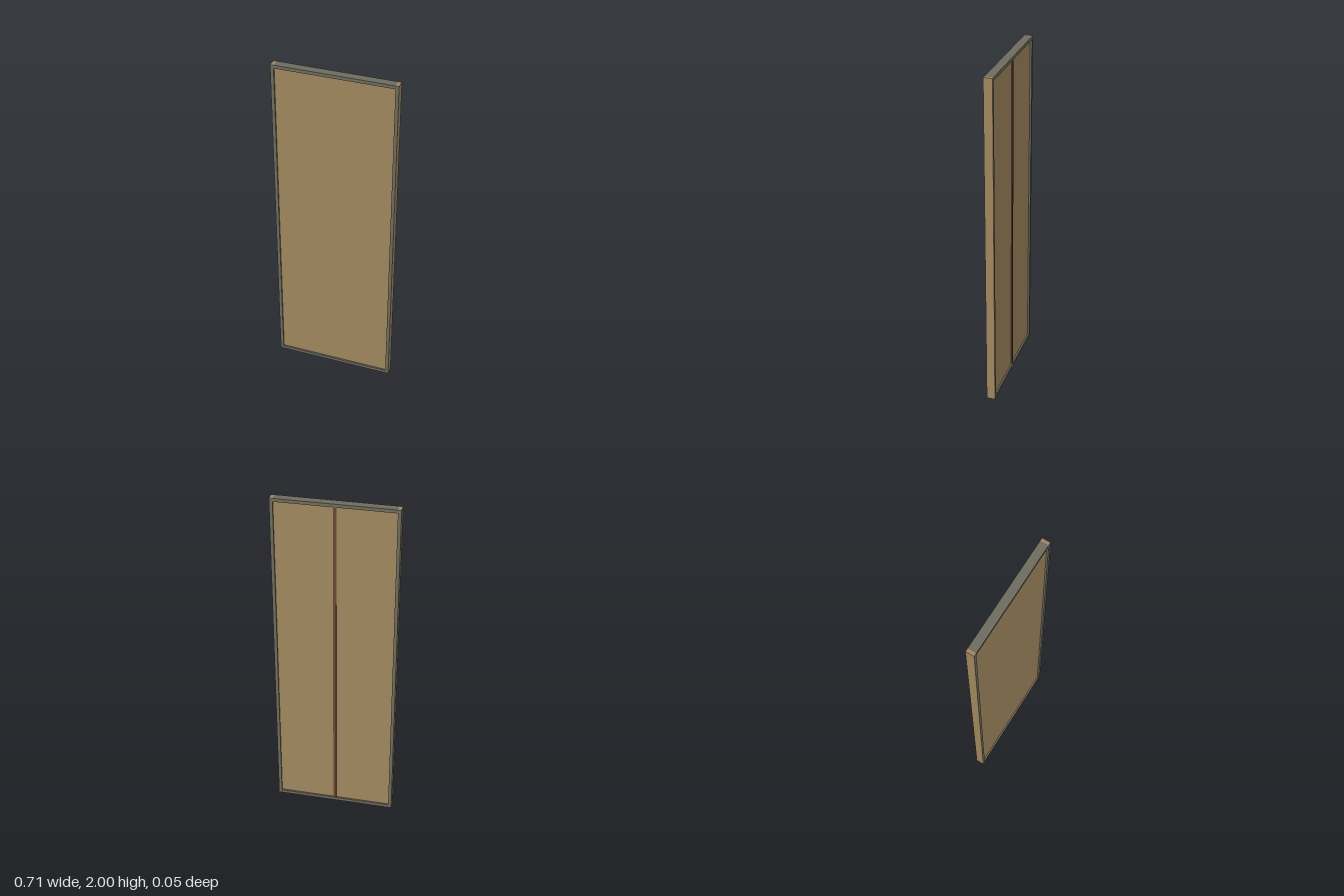
import * as THREE from 'three';

const W = 0.712, H = 2, D = 0.05; // overall size
const T = 0.019;                  // frame thickness
const RECESS = 0.01;              // panel set-back on both faces

export function createModel() {
  const group = new THREE.Group();
  group.name = 'framedPanel';

  const material = (name, color) => {
    const m = new THREE.MeshStandardMaterial({ color });
    m.name = name;
    return m;
  };
  const wood = material('tanWood', 0xa0875f);
  const grey = material('greyFrame', 0x6e6b5e);
  const brown = material('brownBatten', 0x6b4630);

  const box = (name, w, h, d, x, y, z, mat) => {
    const mesh = new THREE.Mesh(new THREE.BoxGeometry(w, h, d), mat);
    mesh.name = name;
    mesh.position.set(x, y, z);
    group.add(mesh);
  };

  // Side posts: wood on the outer side and ends, grey elsewhere
  for (const s of [1, -1]) {
    const faces = [s > 0 ? wood : grey, s > 0 ? grey : wood, wood, wood, grey, grey];
    box(s > 0 ? 'leftPost' : 'rightPost', T, H, D, s * (W - T) / 2, H / 2, 0, faces);
  }

  // Top and bottom rails between the posts
  box('topRail', W - 2 * T, T, D, 0, H - T / 2, 0, grey);
  box('bottomRail', W - 2 * T, T, D, 0, T / 2, 0, grey);

  // Recessed infill panel
  const panelDepth = D - 2 * RECESS;
  box('panel', W - 2 * T, H - 2 * T, panelDepth, 0, H / 2, 0, wood);

  // Narrow vertical batten down the middle of the back
  box('backBatten', 0.018, H - 2 * T, 0.006, 0, H / 2, -panelDepth / 2 - 0.003, brown);

  return group;
}
